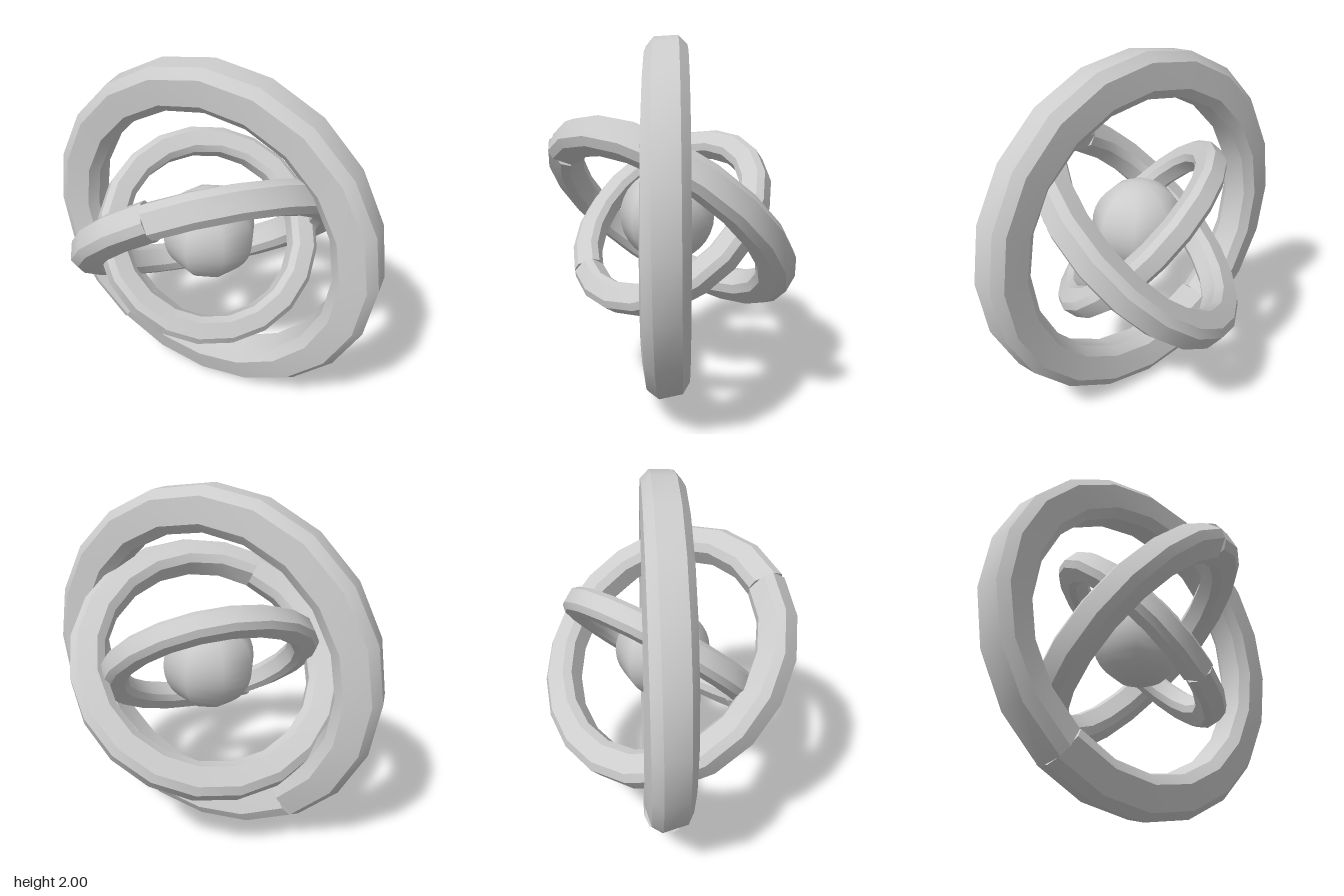
import * as THREE from 'three';
import { toCreasedNormals } from 'three/addons/utils/BufferGeometryUtils.js';

const SEGMENTS = 20;
const CENTER_Y = 1.005;

// Bevelled square cross-section: [outward from the ring centre, along the ring axis]
const SECTION = [
  [0.12, -0.066], [0.12, 0.066], [0.07, 0.112], [-0.07, 0.112],
  [-0.12, 0.066], [-0.12, -0.066], [-0.07, -0.112], [0.07, -0.112],
];

// Ring around z whose section twists slowly, leaving a small step at the seam
function ringGeometry(radius, seamAngle, twist) {
  const positions = [], index = [], n = SECTION.length;
  for (let j = 0; j <= SEGMENTS; j++) {
    const t = j / SEGMENTS;
    const a = seamAngle + t * Math.PI * 2;
    const w = (t - 0.5) * twist;
    for (const [u, v] of SECTION) {
      const r = radius + u * Math.cos(w) - v * Math.sin(w);
      const z = u * Math.sin(w) + v * Math.cos(w);
      positions.push(r * Math.cos(a), r * Math.sin(a), z);
    }
  }
  for (let j = 0; j < SEGMENTS; j++) {
    for (let i = 0; i < n; i++) {
      const a = j * n + i, b = j * n + (i + 1) % n;
      index.push(a, a + n, b, b, a + n, b + n);
    }
  }
  // Caps close both ends at the seam
  const last = SEGMENTS * n;
  for (let i = 1; i < n - 1; i++) {
    index.push(0, i, i + 1, last, last + i + 1, last + i);
  }
  const geometry = new THREE.BufferGeometry();
  geometry.setAttribute('position', new THREE.Float32BufferAttribute(positions, 3));
  geometry.setIndex(index);
  return toCreasedNormals(geometry, 0.5);
}

export function createModel() {
  const model = new THREE.Group();
  model.name = 'nestedRings';
  const grey = new THREE.MeshStandardMaterial({ color: 0xcccccc });
  grey.name = 'grey';

  // Three nested rings, each a smaller copy in its own plane
  const rings = [
    { name: 'outerRing', scale: 1, seam: 234, tilt: [0, -Math.PI / 4, 0] },
    { name: 'middleRing', scale: 0.78, seam: 126, tilt: [Math.PI / 4, 0, 0] },
    { name: 'innerRing', scale: 0.625, seam: 234, tilt: [-Math.PI / 4, 0, 0] },
  ];
  for (const { name, scale, seam, tilt } of rings) {
    const ring = new THREE.Mesh(ringGeometry(0.872, THREE.MathUtils.degToRad(seam), 0.6), grey);
    ring.name = name;
    ring.scale.setScalar(scale);
    ring.rotation.set(...tilt);
    ring.position.y = CENTER_Y;
    model.add(ring);
  }

  // Core ball
  const core = new THREE.Mesh(new THREE.SphereGeometry(0.265, 8, 16), grey);
  core.name = 'core';
  core.position.y = CENTER_Y + 0.01;
  model.add(core);

  return model;
}
